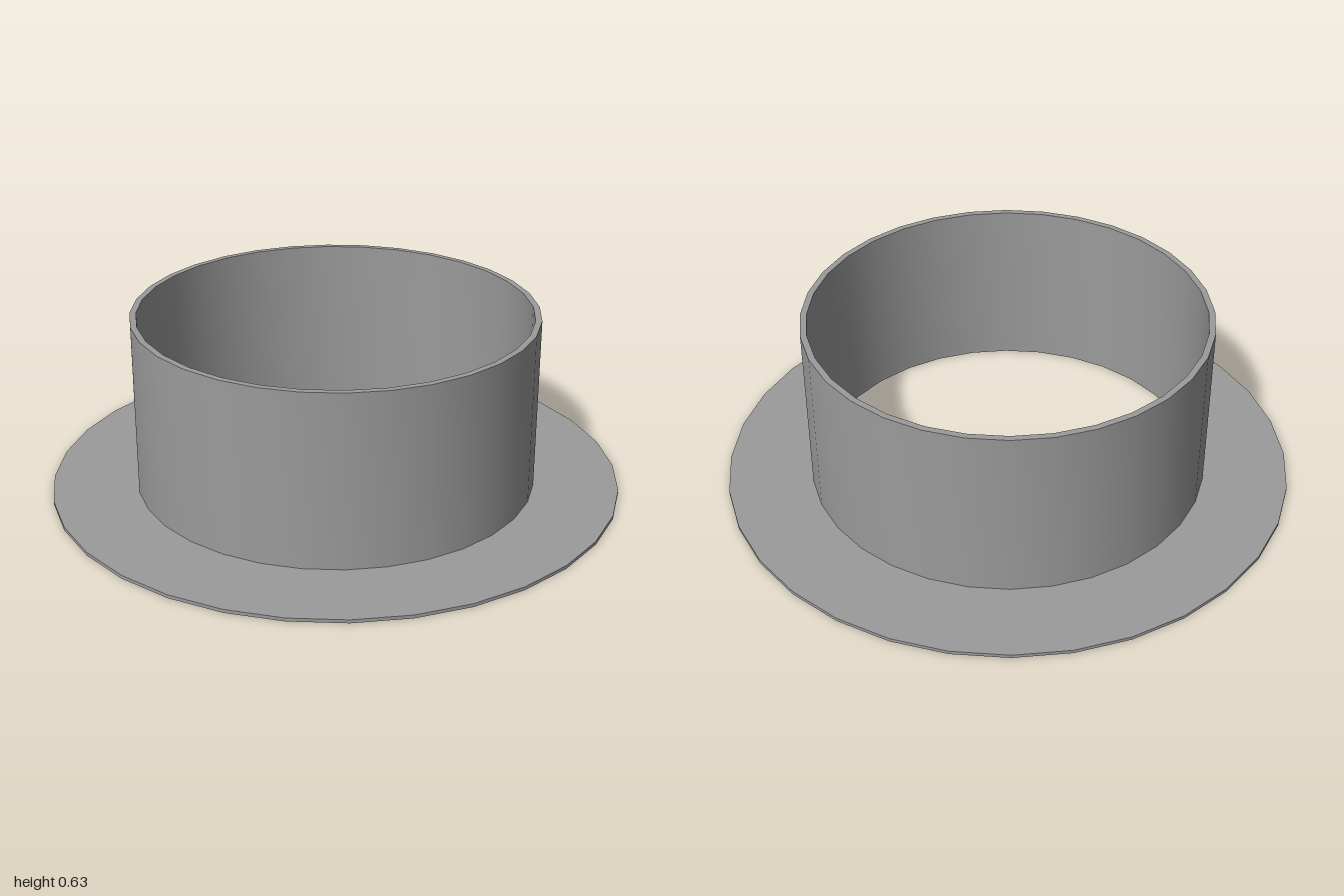
import * as THREE from 'three';
import { toCreasedNormals } from 'three/addons/utils/BufferGeometryUtils.js';

const SEGMENTS = 32;
const INNER = 0.682;      // bore radius
const OUTER = 0.704;      // collar outside radius
const RIM = 1;            // flange radius
const THICKNESS = 0.012;  // flange thickness
const HEIGHT = 0.626;     // overall height

// Revolve a [radius, y] profile, smooth around the axis and sharp at its corners
function revolve(name, profile, material) {
  const points = profile.map(([r, y]) => new THREE.Vector2(r, y));
  const geometry = toCreasedNormals(new THREE.LatheGeometry(points, SEGMENTS), Math.PI / 6);
  const mesh = new THREE.Mesh(geometry, material);
  mesh.name = name;
  return mesh;
}

export function createModel() {
  const group = new THREE.Group();
  group.name = 'flangedCollar';
  const material = new THREE.MeshStandardMaterial({ color: 0x9b9b9b });

  // Thin flat ring at the base, meeting the collar wall without hidden faces
  group.add(revolve('flange', [
    [INNER, THICKNESS], [INNER, 0], [RIM, 0], [RIM, THICKNESS], [OUTER, THICKNESS],
  ], material));

  // Thin-walled open tube rising from the flange
  group.add(revolve('collar', [
    [OUTER, THICKNESS], [OUTER, HEIGHT], [INNER, HEIGHT], [INNER, THICKNESS],
  ], material));

  return group;
}
